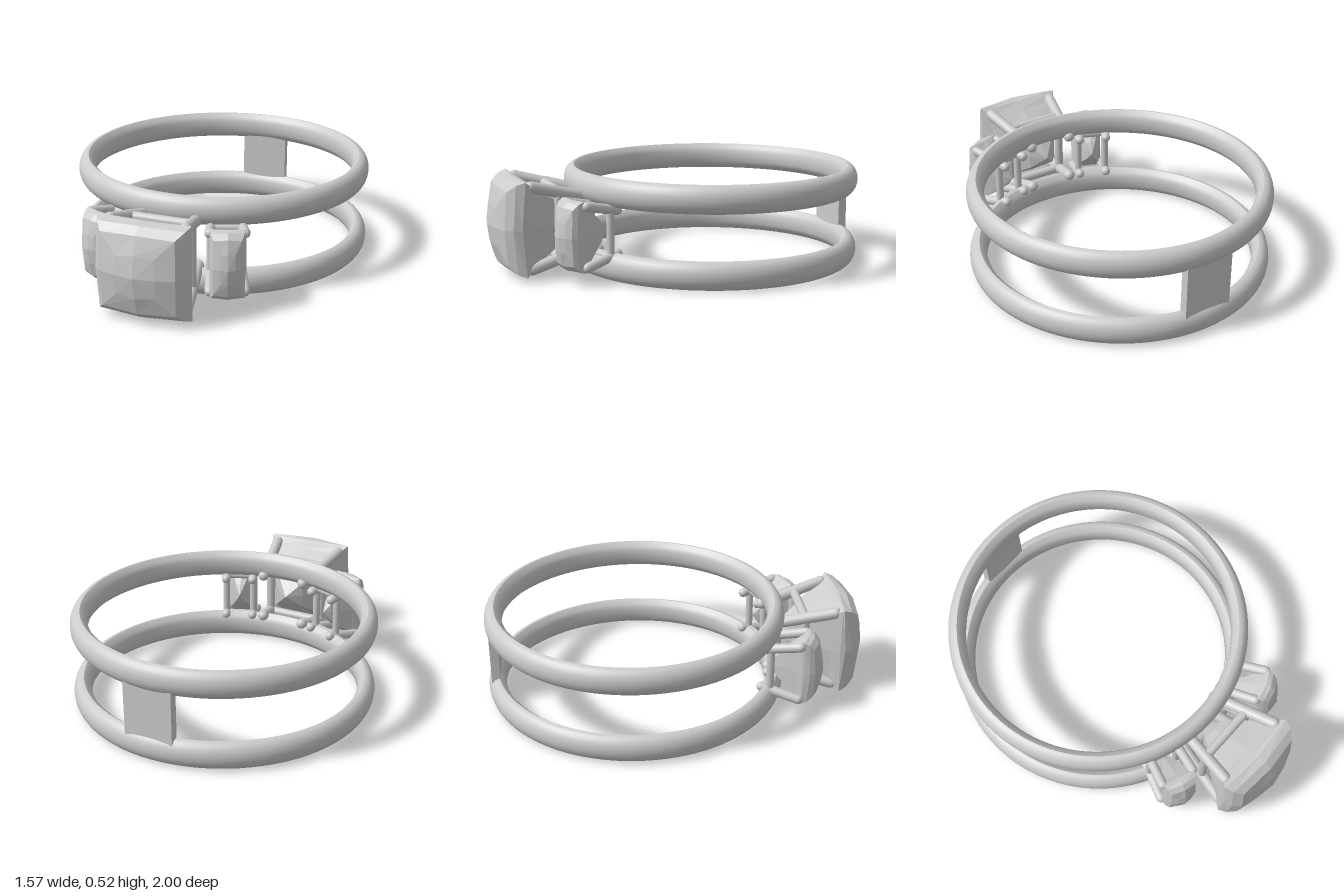
import * as THREE from 'three';
import { toCreasedNormals } from 'three/addons/utils/BufferGeometryUtils.js';

const metal = new THREE.MeshStandardMaterial({ color: 0xcccccc });
const facet = new THREE.MeshStandardMaterial({ color: 0xcccccc, flatShading: true });

function mesh(name, geometry, material = metal) {
  const m = new THREE.Mesh(geometry, material);
  m.name = name;
  return m;
}

// Round-ended rod between two points
function rod(name, a, b, r) {
  const dir = b.clone().sub(a);
  const m = mesh(name, new THREE.CapsuleGeometry(r, dir.length(), 5, 14));
  m.position.copy(a).add(b).multiplyScalar(0.5);
  m.quaternion.setFromUnitVectors(new THREE.Vector3(0, 1, 0), dir.normalize());
  return m;
}

// Band section: domed outside, bevelled edges and a flat inner wall
function bandGeometry() {
  const pts = [[0.697, 0.03], [0.697, -0.03], [0.708, -0.052], [0.732, -0.072]];
  for (let i = 1; i < 12; i++) {
    const a = -Math.PI / 2 + (i / 12) * Math.PI;
    pts.push([0.732 + 0.053 * Math.cos(a), 0.072 * Math.sin(a)]);
  }
  pts.push([0.732, 0.072], [0.708, 0.052], [0.697, 0.03]);
  const g = new THREE.LatheGeometry(pts.map(p => new THREE.Vector2(...p)), 96);
  return toCreasedNormals(g, 0.5);
}

// Square-cut gem: rows of [scale, depth, corner pull] from the rear point to the front
function gemGeometry(w, h, back, front) {
  const rows = [
    [0, -1, 1], [0.32, -0.8, 0.9], [0.62, -0.49, 0.92], [0.86, -0.2, 0.96], [0.98, -0.06, 1],
    [1, 0.04, 1], [0.96, 0.36, 0.97], [0.82, 0.65, 0.96], [0.45, 0.87, 0.88], [0, 1, 1],
  ];
  const dirs = [[1, 0], [1, 1], [0, 1], [-1, 1], [-1, 0], [-1, -1], [0, -1], [1, -1]];
  const pos = [], idx = [];
  rows.forEach(([s, d, pull], i) => dirs.forEach(([x, y], j) => {
    const corner = j % 2 === 1;
    const k = corner ? s * pull : s;
    const z = d * (d < 0 ? back : front) - (corner && d > 0 ? 0.15 * front * s : 0);
    pos.push(x * w * k, y * h * k, z);
    if (i < rows.length - 1) {
      const n = (j + 1) % 8, a = i * 8 + j, b = i * 8 + n;
      if (i > 0) idx.push(a, b, b + 8);
      if (i < rows.length - 2) idx.push(a, b + 8, a + 8);
    }
  }));
  const g = new THREE.BufferGeometry();
  g.setAttribute('position', new THREE.Float32BufferAttribute(pos, 3));
  g.setIndex(idx);
  const flat = g.toNonIndexed();
  flat.computeVertexNormals();
  return flat;
}

// Gem with four prongs and a rectangular support frame, z measured from the band axis
function setting(name, o) {
  const g = new THREE.Group();
  g.name = name;
  const gem = mesh(name + 'Gem', gemGeometry(o.w, o.h, o.back, o.front), facet);
  gem.position.z = o.girdle;
  g.add(gem);
  const base = new THREE.Vector3(...o.base), tip = new THREE.Vector3(...o.tip);
  const at = base.clone().lerp(tip, (o.frame - base.z) / (tip.z - base.z));
  const flip = (v, x, y) => new THREE.Vector3(v.x * x, v.y * y, v.z);
  for (const x of [-1, 1]) for (const y of [-1, 1])
    g.add(rod('prong', flip(base, x, y), flip(tip, x, y), o.r));
  for (const s of [-1, 1]) {
    g.add(rod('framePost', flip(at, s, -1), flip(at, s, 1), o.r * 0.8));
    g.add(rod('frameRail', flip(at, -1, s), flip(at, 1, s), o.r * 0.8));
  }
  return g;
}

export function createModel() {
  const ring = new THREE.Group();
  ring.name = 'ring';
  ring.position.z = -0.215;

  // Twin bands
  const band = bandGeometry();
  for (const [name, y] of [['lowerBand', 0.077], ['upperBand', 0.45]]) {
    const b = mesh(name, band);
    b.position.y = y;
    ring.add(b);
  }

  // Plate joining the bands at the back
  const plate = mesh('backPlate', new THREE.BoxGeometry(0.26, 0.31, 0.045));
  plate.position.set(0, 0.263, -0.74);
  ring.add(plate);

  // Large middle gem
  const centre = setting('centre', {
    w: 0.238, h: 0.24, back: 0.34, front: 0.135, girdle: 1.08,
    base: [0.122, 0.125, 0.7], tip: [0.192, 0.208, 1.03], frame: 0.88, r: 0.03,
  });
  centre.position.y = 0.268;
  ring.add(centre);

  // Smaller gems on both sides, pointing outward from the band axis
  for (const s of [-1, 1]) {
    const side = setting(s < 0 ? 'right' : 'left', {
      w: 0.086, h: 0.178, back: 0.2, front: 0.085, girdle: 0.925,
      base: [0.076, 0.11, 0.705], tip: [0.085, 0.152, 0.9], frame: 0.75, r: 0.025,
    });
    side.position.y = 0.25;
    side.rotation.y = s * 0.372;
    ring.add(side);
  }

  const model = new THREE.Group();
  model.name = 'twinBandRing';
  model.add(ring);
  return model;
}
